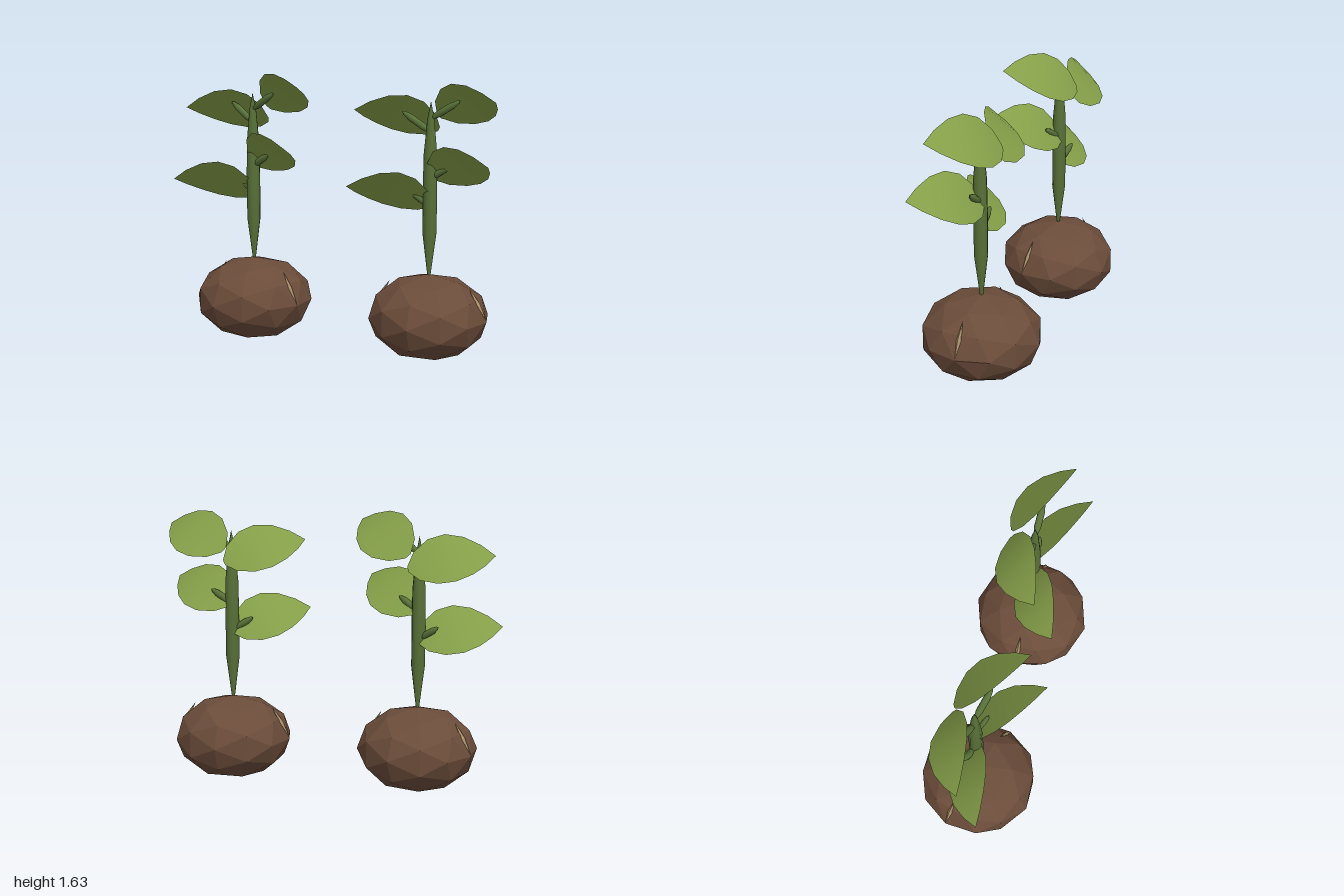
import * as THREE from 'three';

const mat = (name, color, extra = {}) => {
  const m = new THREE.MeshStandardMaterial({ color, ...extra });
  m.name = name;
  return m;
};

// Arched leaf blade growing from the origin; side = +1 or -1 mirrors it in x
function bladeGeometry(side) {
  const along = new THREE.Vector3(0.42, 0.12, 0.255);
  const across = new THREE.Vector3(-0.51, 0.68, 0.52).multiplyScalar(0.162);
  const normal = new THREE.Vector3(0.206, 0.69, -0.691);
  const ts = [0, 0.1, 0.28, 0.48, 0.68, 0.86, 1];
  const widths = [0.12, 0.6, 0.94, 1, 0.8, 0.43, 0];
  const pos = [], index = [];
  ts.forEach((t, i) => {
    for (let j = -1; j <= 1; j++) {
      const p = along.clone().multiplyScalar(t)
        .addScaledVector(across, widths[i] * j)
        .addScaledVector(normal, 0.055 * 4 * t * (1 - t));
      pos.push(p.x * side, p.y, p.z);
    }
  });
  for (let i = 0; i < ts.length - 1; i++) {
    for (let j = 0; j < 2; j++) {
      const a = i * 3 + j, b = a + 1, c = a + 3, d = a + 4;
      if (side > 0) index.push(a, b, c, b, d, c);
      else index.push(a, c, b, b, c, d);
    }
  }
  // Wind the faces so that the upper side is the front
  for (let k = 0; k < index.length; k += 3) [index[k], index[k + 1]] = [index[k + 1], index[k]];
  const g = new THREE.BufferGeometry();
  g.setAttribute('position', new THREE.Float32BufferAttribute(pos, 3));
  g.setIndex(index);
  g.computeVertexNormals();
  return g;
}

// Round stalk with tapered ends, from [radius, height] pairs
const stalk = (profile) =>
  new THREE.LatheGeometry(profile.map(([r, y]) => new THREE.Vector2(r, y)), 10);

export function createModel() {
  const model = new THREE.Group();
  model.name = 'seedlings';

  const brown = mat('seed brown', 0x6b4c3a, { flatShading: true });
  const tan = mat('crack tan', 0xa89068, { flatShading: true });
  const green = mat('stem green', 0x587038);
  const leafGreen = mat('leaf green', 0x849e48, { side: THREE.DoubleSide });

  const seedGeo = new THREE.IcosahedronGeometry(1, 1).scale(0.352, 0.25, 0.355);
  const crackGeo = new THREE.OctahedronGeometry(1).scale(0.015, 0.108, 0.015);
  const stemGeo = stalk([[0, 0.48], [0.01, 0.5], [0.04, 0.74], [0.041, 1.0], [0.038, 1.2], [0.02, 1.4], [0, 1.5]]);
  const petioleGeo = stalk([[0.008, 0], [0.02, 0.25], [0.02, 0.7], [0.011, 0.92], [0, 1]]);
  const blades = { 1: bladeGeometry(1), '-1': bladeGeometry(-1) };

  // side, height on the stem, depth of the blade's base, petiole reach and rise
  const leaves = [
    [1, 1.06, -0.02, 0.13, 0.085],
    [-1, 0.9, -0.02, 0.13, 0.085],
    [1, 1.4, -0.135, 0.175, 0.11],
    [-1, 1.325, -0.135, 0.175, 0.11],
  ];

  function seedling(name, x, turn, bladeTurn, bladeTilt) {
    const plant = new THREE.Group();
    plant.name = name;
    plant.position.x = x;
    plant.rotation.y = turn;
    const add = (part, geo, material) => {
      const m = new THREE.Mesh(geo, material);
      m.name = part;
      plant.add(m);
      return m;
    };

    add('seed', seedGeo, brown).position.y = 0.25;
    add('stem', stemGeo, green);

    // Split in the shell on both sides
    for (const s of [1, -1]) {
      const crack = add('crack', crackGeo, tan);
      crack.position.set(0.298 * s, 0.35, 0);
      crack.rotation.z = 0.54 * s;
    }

    for (const [s, y, z, reach, rise] of leaves) {
      const petiole = add('petiole', petioleGeo, green);
      const dir = new THREE.Vector3(reach * s, rise, 0);
      petiole.position.y = y;
      petiole.scale.y = dir.length();
      petiole.quaternion.setFromUnitVectors(new THREE.Vector3(0, 1, 0), dir.normalize());

      const blade = add('leafBlade', blades[s], leafGreen);
      blade.position.set(0, y, z);
      blade.rotation.set(0, bladeTurn, bladeTilt);
    }
    return plant;
  }

  model.add(seedling('rightSeedling', -0.555, -0.3, 0.1, 0.115));
  model.add(seedling('leftSeedling', 0.577, 0, 0, 0));
  return model;
}
